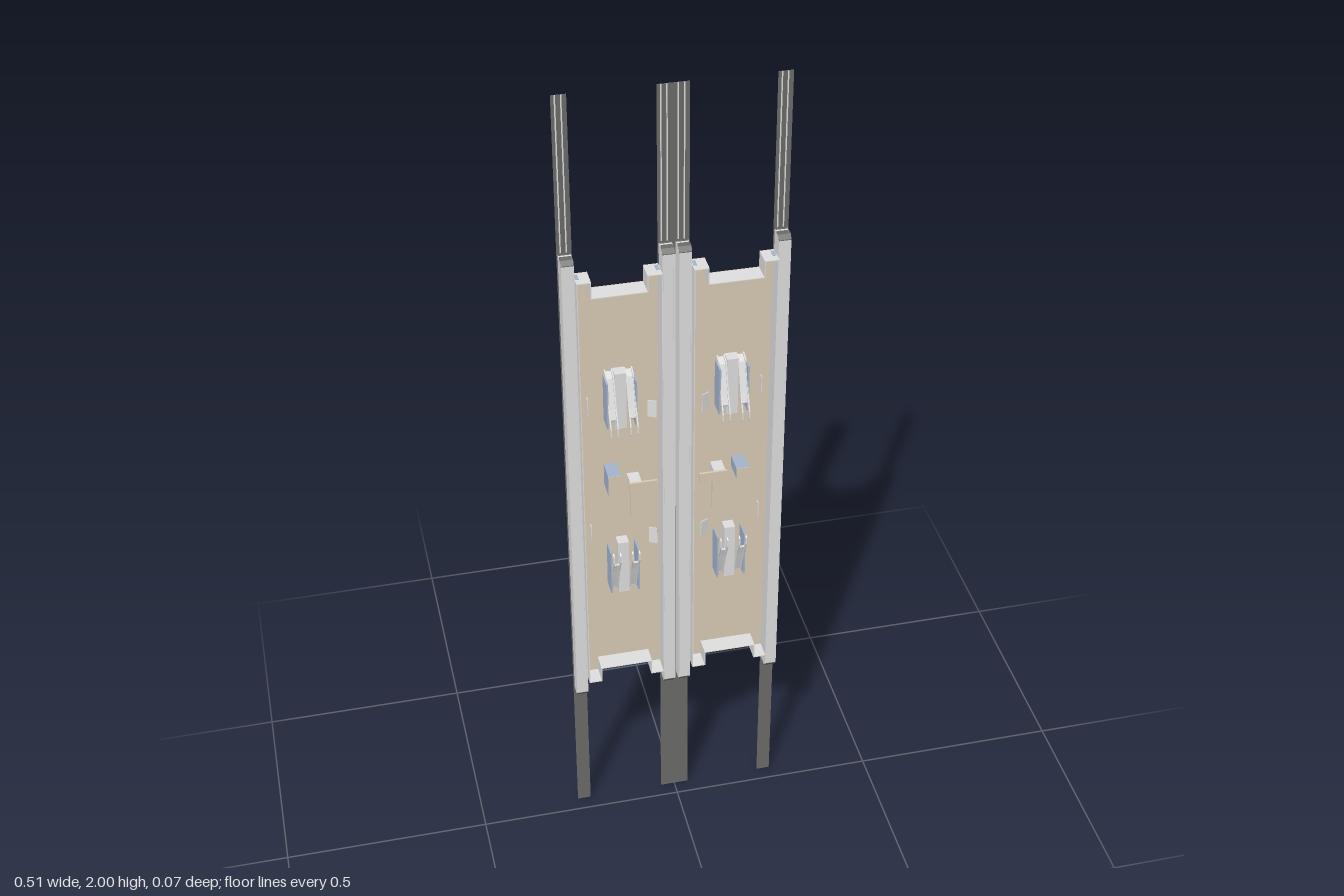
import * as THREE from 'three';

const mat = (name, color) => {
  const m = new THREE.MeshStandardMaterial({ color });
  m.name = name;
  return m;
};

export function createModel() {
  const root = new THREE.Group();
  const tan = mat('tan panel', 0xd8cab4);
  const grey = mat('light grey metal', 0xdedede);
  const steel = mat('blue grey steel', 0xa3b3cc);
  const dark = mat('dark grey strip', 0x6a6c68);

  const add = (parent, name, geo, m) => {
    const mesh = new THREE.Mesh(geo, m);
    mesh.name = name;
    parent.add(mesh);
    return mesh;
  };
  // Box given by its limits on each axis
  const box = (parent, name, m, x0, x1, y0, y1, z0, z1) => {
    const g = new THREE.BoxGeometry(Math.abs(x1 - x0), y1 - y0, z1 - z0);
    g.translate((x0 + x1) / 2, (y0 + y1) / 2, (z0 + z1) / 2);
    return add(parent, name, g, m);
  };
  const toPoints = (list) => list.map(([x, y]) => new THREE.Vector2(x, y));
  const extrude = (shape, depth) =>
    new THREE.ExtrudeGeometry(shape, { depth, bevelEnabled: false });
  // Side profile of [z, y] points, given a width along x and centred there
  const sideExtrude = (profile, width, x) => {
    const g = extrude(new THREE.Shape(toPoints(profile)), width);
    g.rotateY(-Math.PI / 2);
    g.translate(x + width / 2, 0, 0);
    return g;
  };

  // Notched tray outline, inset by i, always counter-clockwise
  const outline = (s, i) => {
    const a = 0.035 + i, b = 0.068 - i, c = 0.19 + i, d = 0.222 - i;
    const lo = 0.44 + i, low = 0.48 + i, hi = 1.58 - i, high = 1.54 - i;
    const points = toPoints([
      [a, lo], [b, lo], [b, low], [c, low], [c, lo], [d, lo],
      [d, hi], [c, hi], [c, high], [b, high], [b, hi], [a, hi],
    ].map(([x, y]) => [s * x, y]));
    return s < 0 ? points.reverse() : points;
  };

  // Slide rail with chamfered front corners
  const rail = (x) => {
    const g = new THREE.Group();
    g.name = 'slideRail';
    const profile = [
      [-0.0355, 0.392], [-0.008, 0.392], [0, 0.402],
      [0, 1.618], [-0.008, 1.628], [-0.0355, 1.628],
    ];
    add(g, 'railBody', sideExtrude(profile, 0.028, x), grey);
    // Dark end caps over the chamfers, with two ball tracks behind
    const cap = [
      [-0.02, 1.628], [-0.008, 1.628], [0, 1.618], [0, 1.62], [-0.0075, 1.63], [-0.02, 1.63],
    ];
    for (const flip of [false, true]) {
      const ends = cap.map(([z, y]) => [z, flip ? 2.02 - y : y]);
      add(g, 'railEndCap', sideExtrude(ends, 0.028, x), dark);
      const y = flip ? 0.391 : 1.628;
      for (const z of [-0.0345, -0.0245])
        box(g, 'ballTrack', dark, x - 0.013, x + 0.013, y, y + 0.001, z, z + 0.003);
    }
    for (const e of [-0.0115, 0.0115])
      box(g, 'railBead', grey, x + e - 0.001, x + e + 0.001, 0.402, 1.618, 0, 0.0008);
    for (const e of [-0.008, 0.005])
      box(g, 'stripRib', grey, x + e - 0.0015, x + e + 0.0015, 1.632, 2, -0.0355, -0.035);
    root.add(g);
  };

  // Spring clip: centre plate, side flanges and two bent channel arms
  const clip = (parent, x, flip) => {
    const g = new THREE.Group();
    g.name = 'springClip';
    const fy = (y) => (flip ? 2.027 - y : y);
    const side = (list) => list.map(([z, y]) => [z, fy(y)]);
    const cheek = side([
      [-0.03, 1.325], [-0.008, 1.318], [0.006, 1.275], [0.016, 1.245], [0.035, 1.205],
      [0.035, 1.185], [0.029, 1.18], [0.026, 1.203], [0.008, 1.235],
      [-0.006, 1.27], [-0.016, 1.3], [-0.03, 1.305],
    ]);
    const web = side([
      [-0.03, 1.32], [-0.01, 1.312], [0.004, 1.272], [0.014, 1.243], [0.022, 1.222],
      [0.02, 1.218], [0.008, 1.238], [-0.006, 1.27], [-0.016, 1.3], [-0.03, 1.305],
    ]);
    for (const e of [-0.0225, 0.0225]) {
      for (const c of [-0.008, 0.008])
        add(g, 'armCheek', sideExtrude(cheek, 0.003, x + e + c), grey);
      add(g, 'armWeb', sideExtrude(web, 0.016, x + e), grey);
      box(g, 'clipFlange', steel, x + e * 1.45 - 0.002, x + e * 1.45 + 0.002,
        fy(1.252) - 0.06, fy(1.252) + 0.06, -0.031, 0.012);
      // Mounting lug showing on the rear face
      box(g, 'rearLug', grey, x + e - 0.01, x + e + 0.01,
        fy(1.31) - 0.015, fy(1.31) + 0.015, -0.034, -0.033);
    }
    box(g, 'clipCentrePlate', grey, x - 0.013, x + 0.013,
      fy(1.252) - 0.074, fy(1.252) + 0.074, -0.031, -0.004);
    parent.add(g);
  };

  for (const s of [-1, 1]) {
    const unit = new THREE.Group();
    unit.name = s < 0 ? 'rightTray' : 'leftTray';
    root.add(unit);

    // Open tray: floor sheet and upright walls
    const floor = extrude(new THREE.Shape(outline(s, 0)), 0.002);
    floor.translate(0, 0, -0.033);
    add(unit, 'trayFloor', floor, tan);
    const frame = new THREE.Shape(outline(s, 0));
    frame.holes.push(new THREE.Path(outline(s, 0.002).reverse()));
    const walls = extrude(frame, 0.044);
    walls.translate(0, 0, -0.031);
    add(unit, 'trayWalls', walls, grey);

    // Blue grey inserts on the tab ends
    for (const x of [0.041, 0.217])
      for (const y of [0.4395, 1.58])
        box(unit, 'tabInsert', steel, s * x - 0.004, s * x + 0.004, y, y + 0.0005, -0.026, -0.005);

    clip(unit, s * 0.128, false);
    clip(unit, s * 0.128, true);

    // Centre latch: block with a tan face, bar and hanging leg
    const latch = new THREE.Group();
    latch.name = 'centreLatch';
    unit.add(latch);
    const blockTop = s < 0 ? 1.065 : 1.038;
    box(latch, 'latchBlock', steel, s * 0.135, s * 0.165, 1.01, blockTop, -0.031, 0.02);
    box(latch, 'latchBlockFace', tan, s * 0.135, s * 0.165, 1.01, blockTop, 0.02, 0.021);
    box(latch, 'latchBar', tan, s * 0.05, s * 0.115, 1.005, 1.032, 0.008, 0.014);
    box(latch, 'latchPost', grey, s * 0.085, s * 0.112, 1.005, 1.03, -0.031, 0.008);
    box(latch, 'latchLeg', tan, s * 0.08, s * 0.112, 0.93, 1.005, 0.006, 0.012);
    for (const y of s < 0 ? [1.0, 1.04] : [1.03])
      box(latch, 'rearLatchLug', grey, s * 0.137, s * 0.161, y - 0.013, y + 0.013, -0.034, -0.033);

    // Small bent tabs beside the clips
    for (const y of [0.875, 1.235]) {
      const flap = box(unit, 'bentTab', grey, -0.001, 0.001, -0.022, 0.022, -0.01, 0.01);
      flap.position.set(s * 0.061, y, 0.015);
      flap.rotation.y = -s * 1.1;
      box(unit, 'sideTab', grey, s * 0.2 - 0.001, s * 0.2 + 0.001, y - 0.022, y + 0.022, -0.031, -0.02);
    }

    // Rails on long thin strips; the inner strips meet at the centre
    rail(s * 0.0185);
    rail(s * 0.2375);
    box(root, 'innerStrip', dark, 0, s * 0.035, 0, 2, -0.037, -0.0355);
    box(root, 'outerStrip', dark, s * 0.221, s * 0.254, 0, 2, -0.037, -0.0355);
  }
  return root;
}
